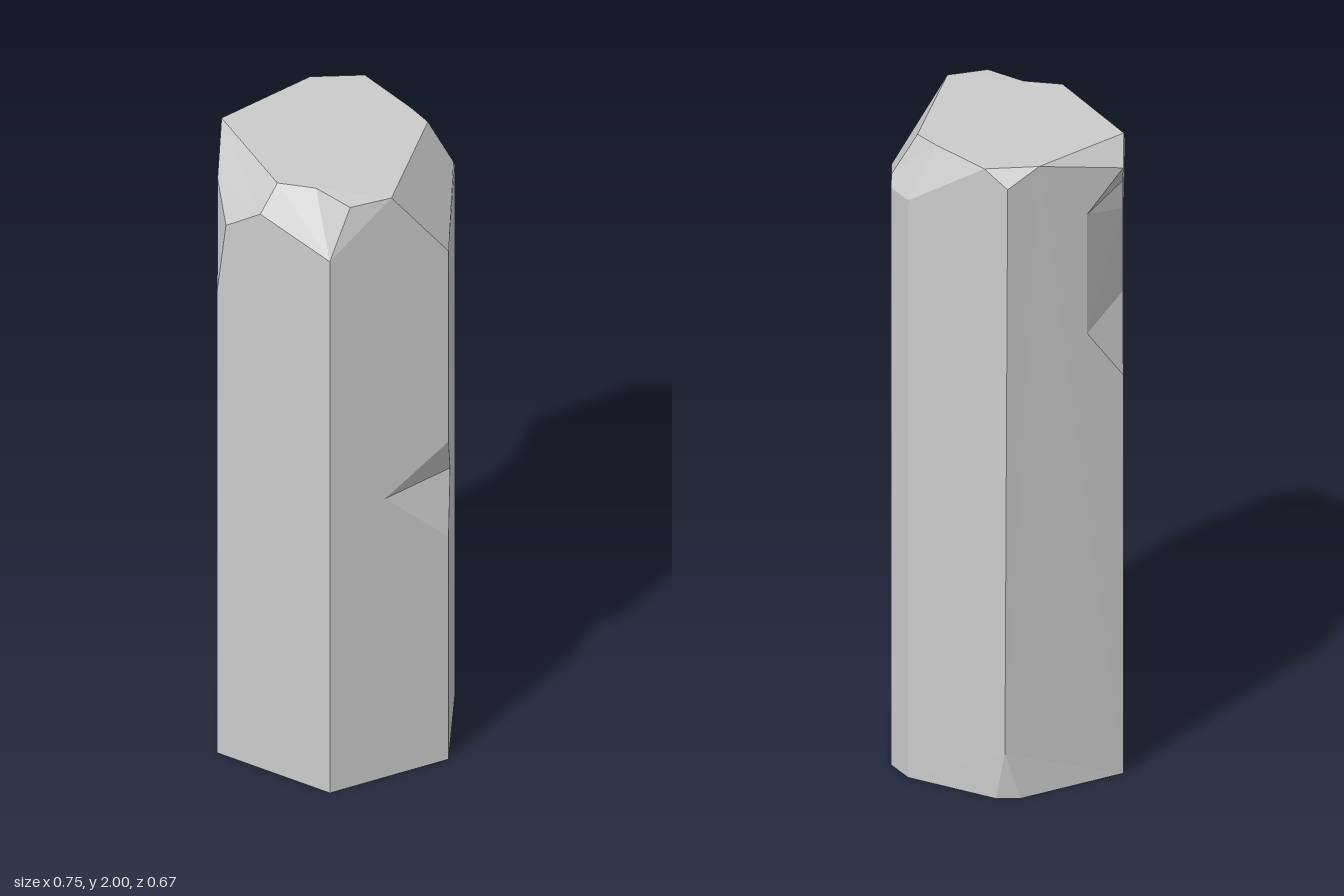
import * as THREE from 'three';

const P = (x, y, z) => new THREE.Vector3(x, y, z);

// Triangulates flat polygons, each turned away from the column axis (or along cap for end faces)
function facets(name, polygons, cap = 0) {
  const positions = [];
  for (const poly of polygons) {
    const normal = P(0, 0, 0), centre = P(0, 0, 0);
    poly.forEach((p, i) => {
      normal.add(new THREE.Vector3().crossVectors(p, poly[(i + 1) % poly.length]));
      centre.addScaledVector(p, 1 / poly.length);
    });
    normal.normalize();
    const outward = cap ? P(0, cap, 0) : P(centre.x, 0, centre.z);
    if (normal.dot(outward) < 0) normal.negate();
    const u = P(0, 0, 0).subVectors(poly[1], poly[0]);
    u.addScaledVector(normal, -u.dot(normal)).normalize();
    const v = new THREE.Vector3().crossVectors(normal, u);
    const flat = poly.map((p) => new THREE.Vector2(p.dot(u), p.dot(v)));
    for (const [i, j, k] of THREE.ShapeUtils.triangulateShape(flat, [])) {
      const ab = flat[j].clone().sub(flat[i]), ac = flat[k].clone().sub(flat[i]);
      const order = ab.cross(ac) > 0 ? [i, j, k] : [i, k, j];
      order.forEach((n) => positions.push(...poly[n].toArray()));
    }
  }
  const geometry = new THREE.BufferGeometry();
  geometry.setAttribute('position', new THREE.Float32BufferAttribute(positions, 3));
  geometry.computeVertexNormals();
  const mesh = new THREE.Mesh(geometry, new THREE.MeshStandardMaterial({ color: 0xcccccc, flatShading: true }));
  mesh.name = name;
  return mesh;
}

export function createModel() {
  // Upright edges of the column, each a point at a given height
  const front = (y) => P(0.205, y, 0.335);
  const frontLeft = (y) => P(-0.18, y, 0.335);
  const side = (y) => P(-0.373, y, 0);
  const back = (y) => P(-0.18, y, -0.335);
  const bevelFront = (y) => P(0.372, y, 0.05);
  const bevelBack = (y) => P(0.372, y, -0.05);
  const backTip = P(0.205, 1.95, -0.335);

  // Corners of the flat top
  const t = [
    P(0.1, 2, -0.335), P(0.245, 2, -0.27), P(0.285, 2, -0.06), P(0.295, 2, 0.03), P(0.02, 2, 0.335),
    P(-0.105, 1.995, 0.318), P(-0.15, 2, 0.19), P(-0.237, 2, 0.115), P(-0.225, 2, -0.26),
  ];
  // Lower corners of the top chips
  const chipRight = P(0.355, 1.87, 0.075);
  const chipFront = P(-0.3, 1.92, 0.13);
  const chipSide = P(-0.36, 1.84, 0.03);
  const chipBack = P(-0.31, 1.9, -0.12);

  // Small notch on the front edge
  const n1 = P(0, 0.965, 0.335), n2 = P(0.25, 0.95, 0.258);
  // Tall notch on the back edge
  const b1 = P(-0.06, 1.43, -0.335), b2 = P(-0.06, 1.81, -0.335);
  const b3 = P(-0.255, 1.82, -0.204), b4 = P(-0.24, 1.745, -0.23), b5 = P(-0.268, 1.455, -0.18);
  // Chip at the foot of the other back edge
  const f1 = P(0.224, 0, -0.3), f2 = P(0.163, 0, -0.335), f3 = P(0.21, 0.15, -0.328);

  const model = new THREE.Group();
  model.name = 'chippedColumn';
  model.add(
    // Long panels, outlined around the notches
    facets('sidePanels', [
      [frontLeft(0), front(0), front(0.77), n1, front(1.1), front(1.76), t[4], frontLeft(1.84)],
      [front(0), bevelFront(0), bevelFront(1.84), chipRight, front(1.76), front(1.1), n2, front(0.77)],
      [bevelFront(0), bevelBack(0), bevelBack(1.84), bevelFront(1.84)],
      [bevelBack(0), f1, f3, backTip, t[1], bevelBack(1.84)],
      [f3, f2, back(0), back(1.27), b1, b2, back(1.93), t[0], backTip],
      [back(0), side(0), side(1.6), chipBack, t[8], back(1.93), b3, b4, b5, back(1.27)],
      [side(0), frontLeft(0), frontLeft(1.84), chipFront, chipSide, side(1.6)],
    ]),
    // Broken facets around the upper rim
    facets('topChips', [
      [frontLeft(1.84), t[4], t[5]],
      [frontLeft(1.84), t[5], t[6]],
      [frontLeft(1.84), t[6], t[7], chipFront],
      [chipFront, t[7], t[8], chipBack, chipSide],
      [chipSide, chipBack, side(1.6)],
      [t[8], t[0], back(1.93)],
      [t[0], t[1], backTip],
      [t[1], t[2], bevelBack(1.84)],
      [t[2], t[3], chipRight, bevelFront(1.84), bevelBack(1.84)],
      [t[3], t[4], front(1.76), chipRight],
    ]),
    facets('frontNotch', [[n1, n2, front(1.1)], [n1, n2, front(0.77)]]),
    facets('backNotch', [
      [back(1.93), b2, b3],
      [b2, b3, b4],
      [b2, b4, b5, b1],
      [b1, b5, back(1.27)],
    ]),
    facets('footChip', [[f1, f2, f3]]),
    facets('topFace', [t], 1),
    facets('bottomFace', [[front(0), bevelFront(0), bevelBack(0), f1, f2, back(0), side(0), frontLeft(0)]], -1),
  );
  return model;
}
